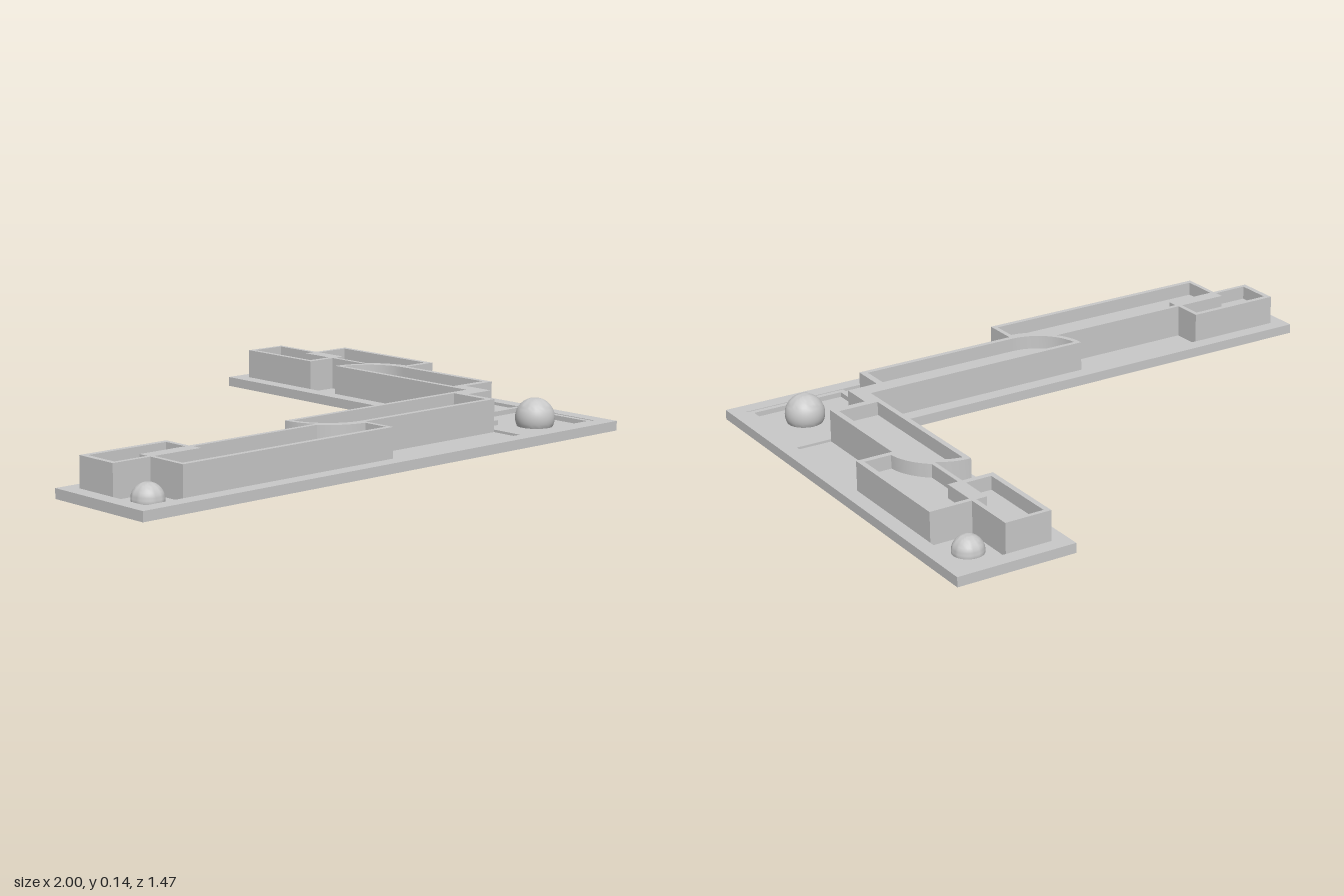
import * as THREE from 'three';
import { toCreasedNormals } from 'three/addons/utils/BufferGeometryUtils.js';

const grey = new THREE.MeshStandardMaterial({ color: 0xc8c8c8 });
grey.name = 'plain grey';

// Points of an arc in plan (x, z) between two angles
function arc(cx, cz, r, from, to, steps = 12) {
  const points = [];
  for (let i = 0; i <= steps; i++) {
    const a = from + (to - from) * i / steps;
    points.push([cx + r * Math.cos(a), cz + r * Math.sin(a)]);
  }
  return points;
}
const angle = (cx, cz, x, z) => Math.atan2(z - cz, x - cx);

// Plan outline as anticlockwise shape points
function toVectors(points) {
  const vectors = points.map(([x, z]) => new THREE.Vector2(x, -z));
  return THREE.ShapeUtils.isClockWise(vectors) ? vectors.reverse() : vectors;
}

// Upright slab from a plan outline, with plan holes
function slab(name, outline, holes, y0, y1) {
  const shape = new THREE.Shape(toVectors(outline));
  holes.forEach(h => shape.holes.push(new THREE.Path(toVectors(h).reverse())));
  const geometry = new THREE.ExtrudeGeometry(shape, { depth: y1 - y0, bevelEnabled: false });
  geometry.rotateX(-Math.PI / 2);
  geometry.translate(0, y0, 0);
  const mesh = new THREE.Mesh(toCreasedNormals(geometry, 0.5), grey);
  mesh.name = name;
  return mesh;
}

// Ball cut off flat at its lower end
function ball(name, x, y, z, r, bottom) {
  const start = Math.asin((bottom - y) / r);
  const profile = [new THREE.Vector2(0, bottom)];
  for (let i = 0; i <= 16; i++) {
    const a = start + (Math.PI / 2 - start) * i / 16;
    profile.push(new THREE.Vector2(Math.max(0, r * Math.cos(a)), y + r * Math.sin(a)));
  }
  const mesh = new THREE.Mesh(toCreasedNormals(new THREE.LatheGeometry(profile, 32), 0.6), grey);
  mesh.name = name;
  mesh.position.set(x, 0, z);
  return mesh;
}

export function createModel() {
  const model = new THREE.Group();
  model.name = 'cornerPanel';
  const PI = Math.PI;

  // Centres of the rounded room ends on the two arms
  const L = [0.022, 0.388], R = [0.652, -0.06];

  const plate = [[-1, 0.336], [0.6, 0.336], [0.6, -0.733], [1, -0.733], [1, 0.733], [-1, 0.733]];
  const inset = [[-0.95, 0.386], [0.652, 0.386], [0.652, -0.682], [0.95, -0.682], [0.95, 0.682], [-0.95, 0.682]];

  // Hollow rooms inside the raised walls
  const rooms = {
    leftEndRoom: [[-0.932, 0.404], [-0.641, 0.404], [-0.641, 0.49], [-0.812, 0.49], [-0.812, 0.524], [-0.932, 0.524]],
    leftMiddleRoom: [[-0.797, 0.539], [-0.622, 0.539], [-0.622, 0.505],
      ...arc(...L, 0.19, angle(...L, -0.128, 0.505), angle(...L, 0.006, 0.577)),
      [0.006, 0.664], [-0.797, 0.664]],
    leftRoundedRoom: [...arc(...L, 0.157, angle(...L, -0.134, 0.404), PI / 2), [0.575, 0.545], [0.575, 0.404]],
    backEndRoom: [[0.67, -0.668], [0.792, -0.668], [0.792, -0.498], [0.757, -0.498], [0.757, -0.38], [0.67, -0.38]],
    backMiddleRoom: [[0.808, -0.482], [0.932, -0.482], [0.932, -0.08],
      ...arc(...R, 0.19, angle(...R, 0.841, -0.08), angle(...R, 0.773, -0.207)),
      [0.773, -0.36], [0.808, -0.36]],
    backRoundedRoom: [...arc(...R, 0.155, angle(...R, 0.67, -0.214), 0), [0.807, 0.31], [0.67, 0.31]],
  };

  // Outer line of the raised walls along both arms
  const walls = [
    [-0.95, 0.386], [-0.625, 0.386], [-0.625, 0.489],
    ...arc(...L, 0.175, angle(...L, -0.121, 0.489), PI),
    [0.652, 0.386],
    ...arc(...R, 0.175, -PI / 2, angle(...R, 0.758, -0.199)),
    [0.758, -0.36], [0.652, -0.36], [0.652, -0.682], [0.808, -0.682], [0.808, -0.498],
    [0.95, -0.498], [0.95, -0.06], [0.827, -0.06], [0.827, 0.336], [0.702, 0.336], [0.702, 0.447],
    [0.597, 0.447], [0.597, 0.563], [0.022, 0.563], [0.022, 0.682], [-0.812, 0.682], [-0.812, 0.539], [-0.95, 0.539],
  ];

  // Sunken tray of the corner and the lip around it
  const tray = [[0.725, 0.353], [0.932, 0.353], [0.932, 0.664], [0.615, 0.664], [0.615, 0.461], [0.725, 0.461]];
  const lip = [[0.702, 0.336], [0.95, 0.336], [0.95, 0.682], [0.597, 0.682], [0.597, 0.447], [0.702, 0.447]];

  // Rim, low floor and corner tray
  model.add(slab('plateRim', plate, [inset], 0.01, 0.042));
  model.add(slab('lowFloor', inset, [...Object.values(rooms), tray], 0.02, 0.032));
  model.add(slab('cornerTray', tray, [], 0.014, 0.024));
  model.add(slab('cornerLip', lip, [tray], 0.03, 0.04));

  // Raised walls, and the sunken top of each room
  model.add(slab('raisedWalls', walls, Object.values(rooms), 0.03, 0.14));
  for (const [name, outline] of Object.entries(rooms)) {
    model.add(slab(name, outline, [], 0.085, 0.095));
  }

  // Balls at the corner and the arm ends
  model.add(ball('cornerBall', 0.808, 0.052, 0.548, 0.065, 0.014));
  model.add(ball('leftArmBall', -0.88, 0.038, 0.609, 0.05, 0.002));
  model.add(ball('backArmBall', 0.88, 0.038, -0.593, 0.05, 0.002));
  return model;
}
